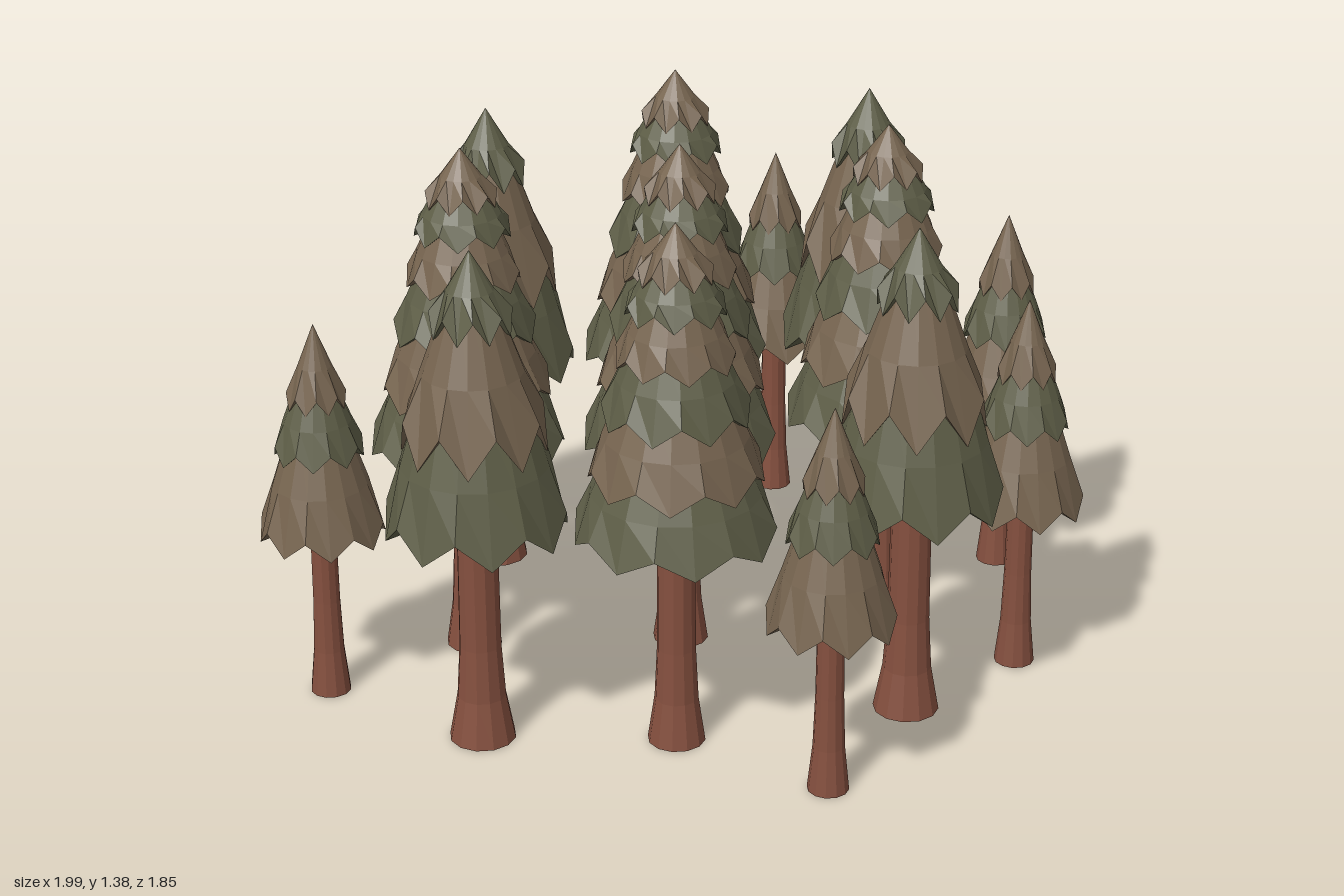
import * as THREE from 'three';

const SIDES = 16;
const mat = (color) => new THREE.MeshStandardMaterial({ color, flatShading: true, side: THREE.DoubleSide });

// Tiers from the top down: [top y, top radius, hem y, hem radius, zigzag depth]
const KINDS = {
  tieredTree: {
    trunk: [0.073, 0.046, 0.66],
    first: 'brown',
    tiers: [
      [1.385, 0, 1.255, 0.09, 0.02],
      [1.27, 0.07, 1.17, 0.122, 0.02],
      [1.2, 0.08, 1.045, 0.145, 0.02],
      [1.1, 0.1, 0.905, 0.18, 0.025],
      [0.96, 0.13, 0.745, 0.215, 0.025],
      [0.82, 0.16, 0.59, 0.25, 0.025],
    ],
  },
  broadTree: {
    trunk: [0.084, 0.05, 0.68],
    first: 'green',
    tiers: [
      [1.31, 0, 1.13, 0.1, 0.03],
      [1.2, 0.055, 0.84, 0.178, 0.05],
      [0.95, 0.13, 0.605, 0.225, 0.035],
    ],
  },
  smallTree: {
    trunk: [0.052, 0.033, 0.52],
    first: 'brown',
    tiers: [
      [1.02, 0, 0.82, 0.074, 0.02],
      [0.86, 0.05, 0.685, 0.112, 0.02],
      [0.75, 0.07, 0.465, 0.158, 0.025],
    ],
  },
};

// [kind, x, z]
const TREES = [
  ['tieredTree', -0.42, -0.41], ['tieredTree', 0.38, -0.365], ['tieredTree', -0.06, 0],
  ['tieredTree', -0.485, 0.325], ['tieredTree', 0.38, 0.325],
  ['broadTree', 0, -0.7], ['broadTree', -0.775, -0.065], ['broadTree', 0.755, 0], ['broadTree', 0, 0.685],
  ['smallTree', -0.84, -0.53], ['smallTree', 0.835, -0.37], ['smallTree', 0.835, 0.405],
  ['smallTree', 0.38, 0.765], ['smallTree', -0.445, 0.765],
];

// Closed cone skirt whose hem alternates up and down
function skirt([topY, topR, hemY, hemR, depth]) {
  const midY = THREE.MathUtils.lerp(topY, hemY, 0.55);
  const midR = THREE.MathUtils.lerp(topR, hemR, 0.58);
  const profile = [[0, hemY + depth], [hemR, hemY], [midR, midY], [topR, topY]];
  const geo = new THREE.LatheGeometry(profile.map(([r, y]) => new THREE.Vector2(r, y)), SIDES);
  const pos = geo.attributes.position;
  for (let i = 0; i <= SIDES; i++) {
    const hem = i * profile.length + 1;
    pos.setY(hem, hemY + (i % 2 ? -depth : depth));
  }
  return geo;
}

// Trunk flared at the foot
function trunkGeometry([footR, topR, height]) {
  const neck = THREE.MathUtils.lerp(topR, footR, 0.35);
  const profile = [[0, 0], [footR, 0], [neck, 0.12], [topR * 1.06, 0.26], [topR, height]];
  return new THREE.LatheGeometry(profile.map(([r, y]) => new THREE.Vector2(r, y)), 12);
}

export function createModel() {
  const group = new THREE.Group();
  group.name = 'forest';
  const bark = mat(0x85503f);
  const leaves = { brown: mat(0x776550), green: mat(0x5f5f48) };

  // Geometry is shared between trees of one kind
  const parts = {};
  for (const [kind, { trunk, tiers }] of Object.entries(KINDS)) {
    parts[kind] = { trunk: trunkGeometry(trunk), tiers: tiers.map(skirt) };
  }

  TREES.forEach(([kind, x, z]) => {
    const tree = new THREE.Group();
    tree.name = kind;
    tree.position.set(x, 0, z);

    const trunk = new THREE.Mesh(parts[kind].trunk, bark);
    trunk.name = 'trunk';
    tree.add(trunk);

    // Foliage tiers alternate between the two shades
    parts[kind].tiers.forEach((geo, i) => {
      const isBrown = (KINDS[kind].first === 'brown') === (i % 2 === 0);
      const tier = new THREE.Mesh(geo, isBrown ? leaves.brown : leaves.green);
      tier.name = 'foliageTier';
      tier.rotation.y = i * 0.25;
      tree.add(tier);
    });
    group.add(tree);
  });
  return group;
}
